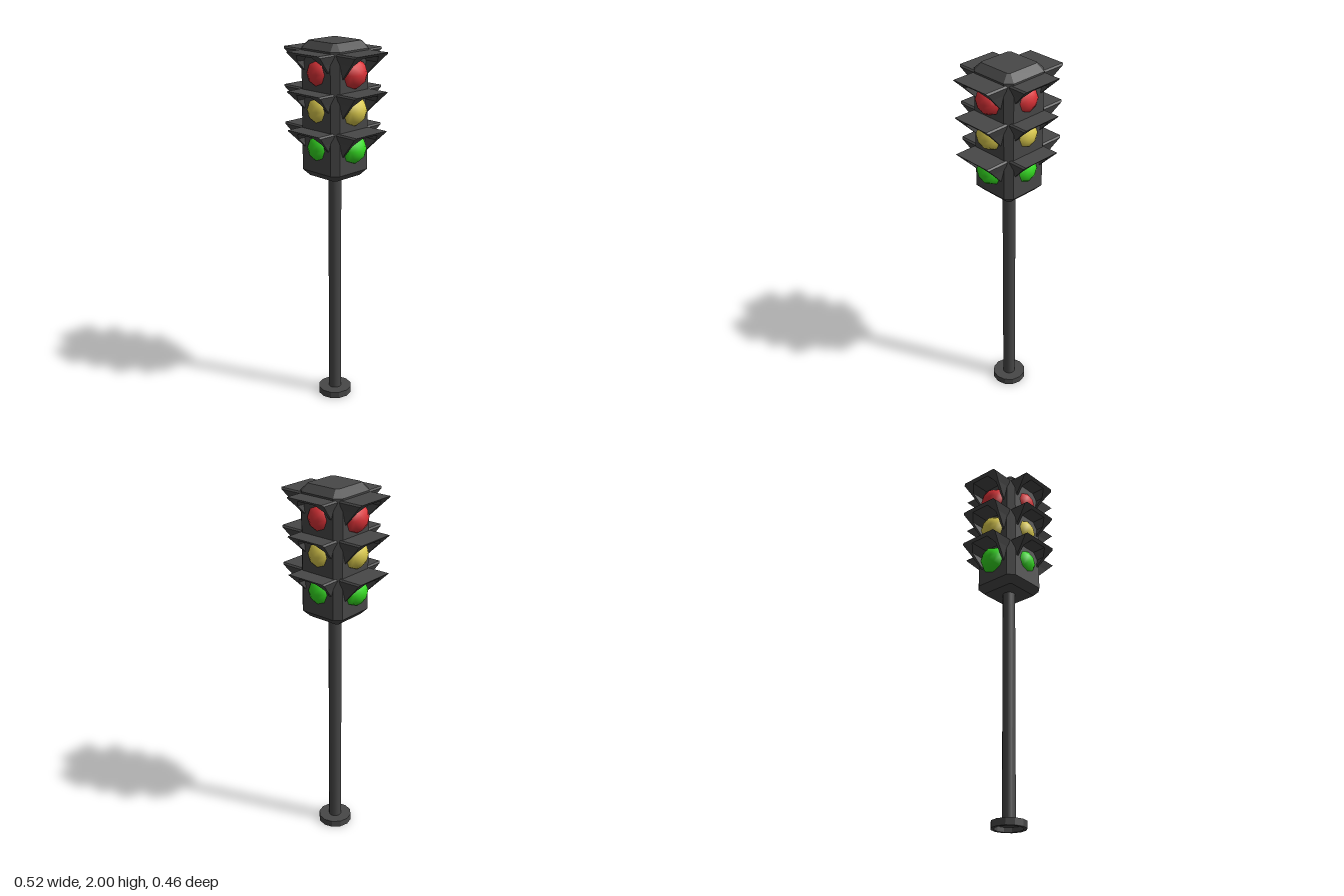
import * as THREE from 'three';

const paint = (color, extra = {}) => {
  const m = new THREE.MeshStandardMaterial(extra);
  m.color.set(color);
  return m;
};

function add(parent, name, geometry, material) {
  const mesh = new THREE.Mesh(geometry, material);
  mesh.name = name;
  parent.add(mesh);
  return mesh;
}

// Square signal head with chamfered corners and bevelled top and bottom
function headGeometry(half, height, bevel, cut) {
  const h = half - bevel, c = h - cut;
  const shape = new THREE.Shape([
    [h, -c], [h, c], [c, h], [-c, h], [-h, c], [-h, -c], [-c, -h], [c, -h],
  ].map(([x, y]) => new THREE.Vector2(x, y)));
  const g = new THREE.ExtrudeGeometry(shape, {
    depth: height - 2 * bevel, bevelEnabled: true, bevelSegments: 1,
    bevelSize: bevel, bevelThickness: bevel,
  });
  return g.translate(0, 0, bevel).rotateX(-Math.PI / 2);
}

// Arched hood, long at the top and cut back to nothing at the lower tips
function visorGeometry(reach, drop) {
  const outer = [[0.08, -drop], [0.103, -0.05], [0.118, -0.008], [0.11, 0]];
  const inner = [[0.055, -0.014], [0.085, -0.05], [0.072, -drop]];
  const mirror = (pts) => pts.map(([x, y]) => [-x, y]).reverse();
  const outline = [...outer, ...mirror(outer), ...mirror(inner), ...inner];
  const g = new THREE.ExtrudeGeometry(
    new THREE.Shape(outline.map(([x, y]) => new THREE.Vector2(x, y))),
    { depth: reach, bevelEnabled: false });
  const p = g.attributes.position;
  for (let i = 0; i < p.count; i++) p.setZ(i, p.getZ(i) * (1 + p.getY(i) / drop));
  g.computeVertexNormals();
  return g;
}

export function createModel() {
  const model = new THREE.Group();
  model.name = 'trafficLight';
  const dark = paint(0x474747);
  const darkThin = paint(0x474747, { side: THREE.DoubleSide });

  // Hollow foot, open underneath
  const foot = [[0.035, 0.037], [0.0925, 0.037], [0.0925, 0], [0.075, 0], [0.075, 0.025], [0.03, 0.025]];
  const footGeometry = new THREE.LatheGeometry(foot.map(([x, y]) => new THREE.Vector2(x, y)), 12);
  const flat = footGeometry.toNonIndexed();
  flat.computeVertexNormals();
  add(model, 'foot', flat, darkThin);

  // Pole
  const pole = add(model, 'pole', new THREE.CylinderGeometry(0.035, 0.035, 1.3, 12), dark);
  pole.position.y = 0.025 + 0.65;

  // Head
  add(model, 'head', headGeometry(0.135, 0.7, 0.037, 0.012), dark).position.y = 1.3;

  // Lamps and visors on all four sides
  const visor = visorGeometry(0.132, 0.135);
  const lamp = new THREE.SphereGeometry(0.08, 8, 8).rotateX(Math.PI / 2);
  const rows = [
    { name: 'red', color: paint(0xdd3338), y: 1.847, top: 1.954 },
    { name: 'yellow', color: paint(0xdccb4e), y: 1.66, top: 1.758 },
    { name: 'green', color: paint(0x35dd22), y: 1.463, top: 1.559 },
  ];
  ['front', 'left', 'back', 'right'].forEach((sideName, i) => {
    const side = new THREE.Group();
    side.name = sideName + 'Signals';
    side.rotation.y = i * Math.PI / 2;
    const out = i % 2 ? 0.03 : 0; // side signals stand further out
    for (const row of rows) {
      add(side, row.name + 'Lamp', lamp, row.color).position.set(0, row.y, 0.086 + out);
      add(side, row.name + 'Visor', visor, dark).position.set(0, row.top, 0.096 + out);
    }
    model.add(side);
  });
  return model;
}
